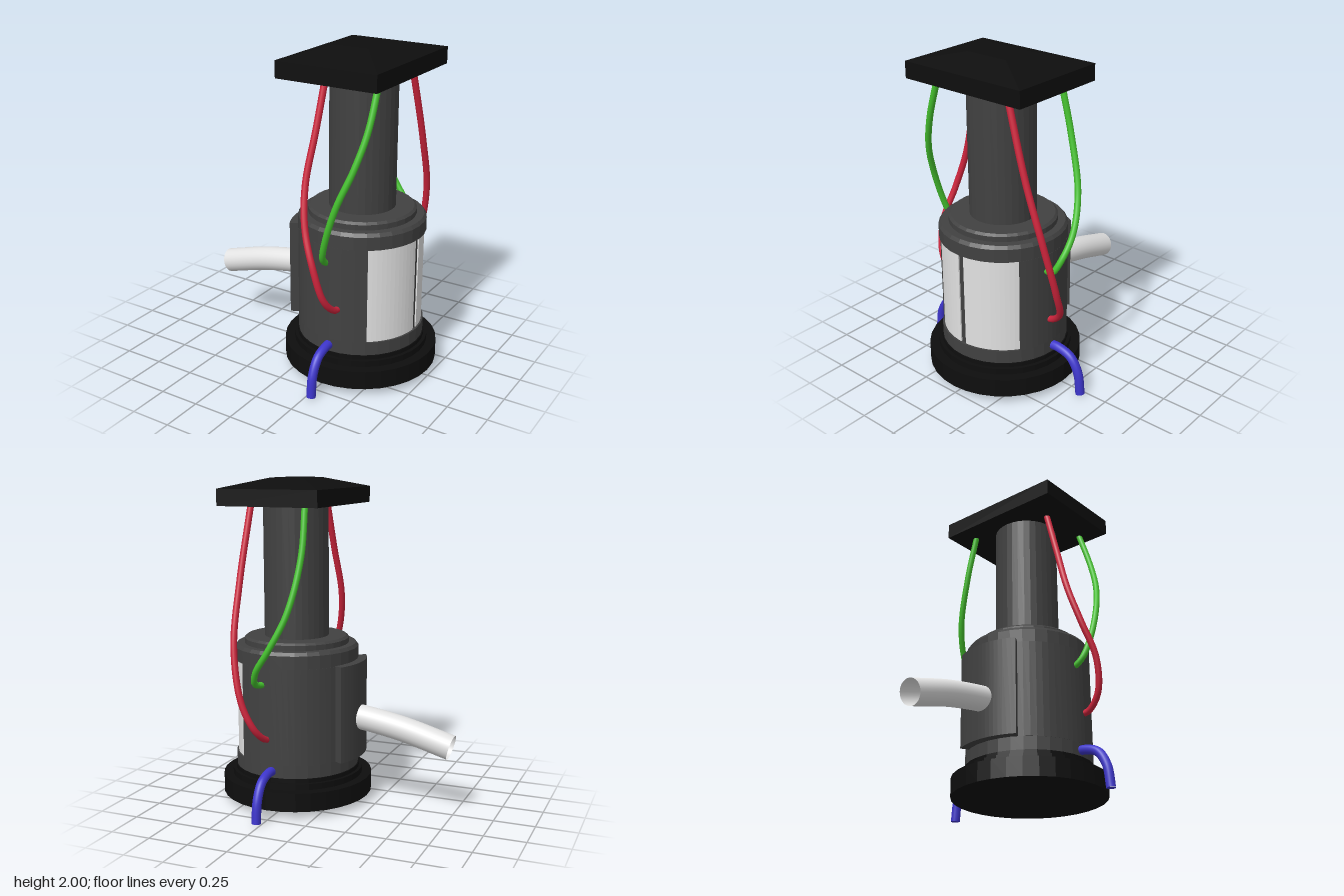
import * as THREE from 'three';

const mat = (name, color, extra = {}) => {
  const m = new THREE.MeshStandardMaterial({ color, ...extra });
  m.name = name;
  return m;
};
const V = (p) => new THREE.Vector3(...p);
const rad = THREE.MathUtils.degToRad;

export function createModel() {
  const black = mat('black', 0x0e0e0e, { flatShading: true });
  const grey = mat('dark grey', 0x414141, { flatShading: true });
  const white = mat('pale grey', 0xe2e2e2, { side: THREE.DoubleSide });
  const red = mat('red', 0xce243c);
  const green = mat('green', 0x45c22e);
  const blue = mat('blue', 0x3d35cc);

  const model = new THREE.Group();
  const tower = new THREE.Group();
  tower.name = 'tower';
  tower.position.set(0.28, 0, 0.01);
  model.add(tower);

  const add = (parent, name, geo, material) => {
    const m = new THREE.Mesh(geo, material);
    m.name = name;
    parent.add(m);
    return m;
  };
  // Turned solid from [radius, height] pairs, listed bottom to top
  const turned = (name, pts, material) =>
    add(tower, name, new THREE.LatheGeometry(pts.map(([r, y]) => new THREE.Vector2(r, y)), 32), material);
  // Upright curved wall; angles in degrees from +x
  const wall = (name, rIn, rOut, y0, y1, a0, a1, material, segs) => {
    const s = new THREE.Shape();
    s.absarc(0, 0, rOut, rad(a0), rad(a1), false);
    s.absarc(0, 0, rIn, rad(a1), rad(a0), true);
    s.closePath();
    const g = new THREE.ExtrudeGeometry(s, { depth: y1 - y0, bevelEnabled: false, curveSegments: segs });
    g.rotateX(-Math.PI / 2);
    g.translate(0, y0, 0);
    return add(tower, name, g, material);
  };
  const tube = (name, pts, r, material, segs = 48) =>
    add(model, name, new THREE.TubeGeometry(new THREE.CatmullRomCurve3(pts.map(V)), segs, r, 14), material);

  // Stepped base
  turned('base', [[0, 0.04], [0.47, 0.04], [0.47, 0.155], [0.412, 0.155], [0.412, 0.193],
    [0.392, 0.193], [0.392, 0.218], [0, 0.218]], black);

  // Drum: lower rim, recessed core, outer wall with a window opening, upper rim
  turned('drumLowerRim', [[0, 0.215], [0.385, 0.215], [0.385, 0.3], [0, 0.3]], grey);
  turned('drumCore', [[0.366, 0.29], [0.366, 0.91]], grey);
  wall('drumWall', 0.35, 0.385, 0.3, 0.89, 55, 305, grey, 22);
  turned('drumUpperRim', [[0, 0.89], [0.385, 0.89], [0.385, 0.97], [0.37, 0.99], [0.325, 0.99],
    [0.325, 1.022], [0.31, 1.035], [0, 1.035]], grey);
  turned('column', [[0.2, 1.03], [0.2, 1.85]], grey);

  // Pair of pale panels and the raised plate on the opposite side
  wall('panelFront', 0.364, 0.373, 0.3, 0.89, 2.9, 55, white, 6);
  wall('panelBack', 0.364, 0.373, 0.3, 0.89, -55, -2.9, white, 6);
  wall('sidePlate', 0.37, 0.438, 0.3, 0.895, 151, 209, grey, 8);

  // Rectangular cap with a shallow tapered top
  const cap = new THREE.Group();
  cap.name = 'cap';
  cap.position.set(0.28, 0, 0.02);
  model.add(cap);
  add(cap, 'capSlab', new THREE.BoxGeometry(0.64, 0.1, 0.84), black).position.y = 1.89;
  const taper = new THREE.CylinderGeometry(Math.SQRT1_2 / 3, Math.SQRT1_2, 0.06, 4);
  taper.rotateY(Math.PI / 4);
  taper.scale(0.64, 1, 0.84);
  add(cap, 'capTop', taper, black).position.y = 1.97;

  // Curved open spout
  const spout = new THREE.CatmullRomCurve3(
    [[-0.06, 0.556, 0.004], [-0.16, 0.546, 0.004], [-0.43, 0.498, 0.003], [-0.73, 0.415, 0.003]].map(V));
  add(model, 'spout', new THREE.TubeGeometry(spout, 20, 0.077, 24), white);

  // Blue hoses at front and back, closed where they meet the ground
  for (const s of [1, -1]) {
    const side = s > 0 ? 'Front' : 'Back';
    tube('blueHose' + side, [[0.28, 0.255, 0.34 * s], [0.28, 0.257, 0.42 * s], [0.28, 0.225, 0.51 * s],
      [0.28, 0.135, 0.566 * s], [0.28, 0, 0.586 * s]], 0.028, blue, 32);
    const end = add(model, 'blueHoseEnd' + side, new THREE.CircleGeometry(0.028, 14), blue);
    end.rotation.x = Math.PI / 2;
    end.position.set(0.28, 0.001, 0.586 * s);
  }

  // Hanging cables from cap to drum
  tube('redCableFront', [[0.18, 1.86, 0.26], [0.165, 1.55, 0.345], [0.148, 1.25, 0.43], [0.185, 1.02, 0.495],
    [0.265, 0.8, 0.537], [0.315, 0.6, 0.505], [0.335, 0.51, 0.42], [0.335, 0.5, 0.35]], 0.02, red);
  tube('greenCableFront', [[0.52, 1.86, 0.27], [0.507, 1.6, 0.36], [0.46, 1.39, 0.43], [0.38, 1.18, 0.476],
    [0.31, 0.97, 0.475], [0.268, 0.83, 0.44], [0.26, 0.785, 0.39], [0.265, 0.782, 0.34]], 0.019, green);
  tube('redCableBack', [[0.475, 1.86, -0.2], [0.49, 1.39, -0.34], [0.475, 1.02, -0.455], [0.41, 0.7, -0.5],
    [0.34, 0.53, -0.47], [0.31, 0.455, -0.385], [0.31, 0.45, -0.33]], 0.02, red);
  tube('greenCableBack', [[0.095, 1.86, -0.265], [0.09, 1.55, -0.34], [0.14, 1.235, -0.434], [0.24, 1.02, -0.48],
    [0.33, 0.88, -0.468], [0.355, 0.8, -0.425], [0.335, 0.785, -0.36], [0.32, 0.785, -0.32]], 0.019, green);

  return model;
}
